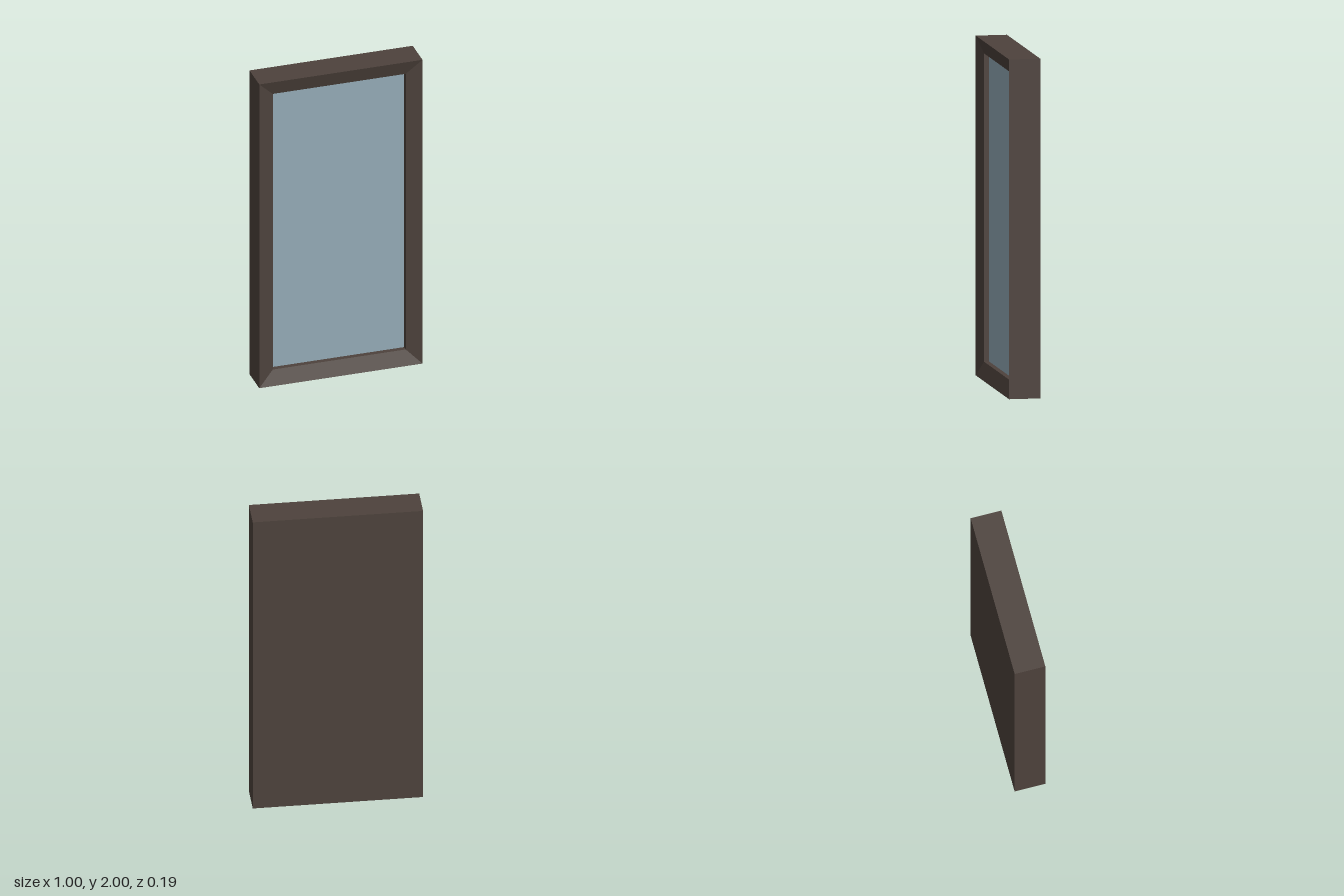
import * as THREE from 'three';

const W = 0.5, H = 1, D = 0.0926;  // half width, height and depth
const BORDER = 0.0926;             // frame width seen from the front
const LIP_Z = D - 0.031;           // inner edge of the sloping face
const GLASS_Z = D - 0.062;         // glass surface

// Rectangular rings [inset, z], joined in order into flat mitred faces
function loftRings(rings) {
  const corners = [[-1, -1], [1, -1], [1, 1], [-1, 1]];
  const point = ([inset, z], k) => {
    const [sx, sy] = corners[k % 4];
    return [sx * (W - inset), sy * (H - inset), z];
  };
  const positions = [];
  for (let r = 0; r < rings.length - 1; r++) {
    for (let k = 0; k < 4; k++) {
      const a = point(rings[r], k), b = point(rings[r], k + 1);
      const c = point(rings[r + 1], k + 1), d = point(rings[r + 1], k);
      positions.push(...a, ...b, ...c, ...a, ...c, ...d);
    }
  }
  const geometry = new THREE.BufferGeometry();
  geometry.setAttribute('position', new THREE.Float32BufferAttribute(positions, 3));
  geometry.computeVertexNormals();
  return geometry;
}

export function createModel() {
  const group = new THREE.Group();
  group.name = 'framedPanel';
  const wood = new THREE.MeshStandardMaterial({ name: 'darkWood', color: 0x4d423c });
  const glass = new THREE.MeshStandardMaterial({ name: 'paleBlueGlass', color: 0x93aab6 });

  const add = (name, geometry, material, z = 0) => {
    const mesh = new THREE.Mesh(geometry, material);
    mesh.name = name;
    mesh.position.set(0, H, z);
    group.add(mesh);
    return mesh;
  };

  // Outer sides, sloping front face and inner step
  add('frame', loftRings([[0, -D], [0, D], [BORDER, LIP_Z], [BORDER, GLASS_Z]]), wood);

  // Closed back
  add('backPanel', new THREE.PlaneGeometry(2 * W, 2 * H), wood, -D).rotation.y = Math.PI;

  // Recessed pane
  add('pane', new THREE.PlaneGeometry(2 * (W - BORDER), 2 * (H - BORDER)), glass, GLASS_Z);

  return group;
}
